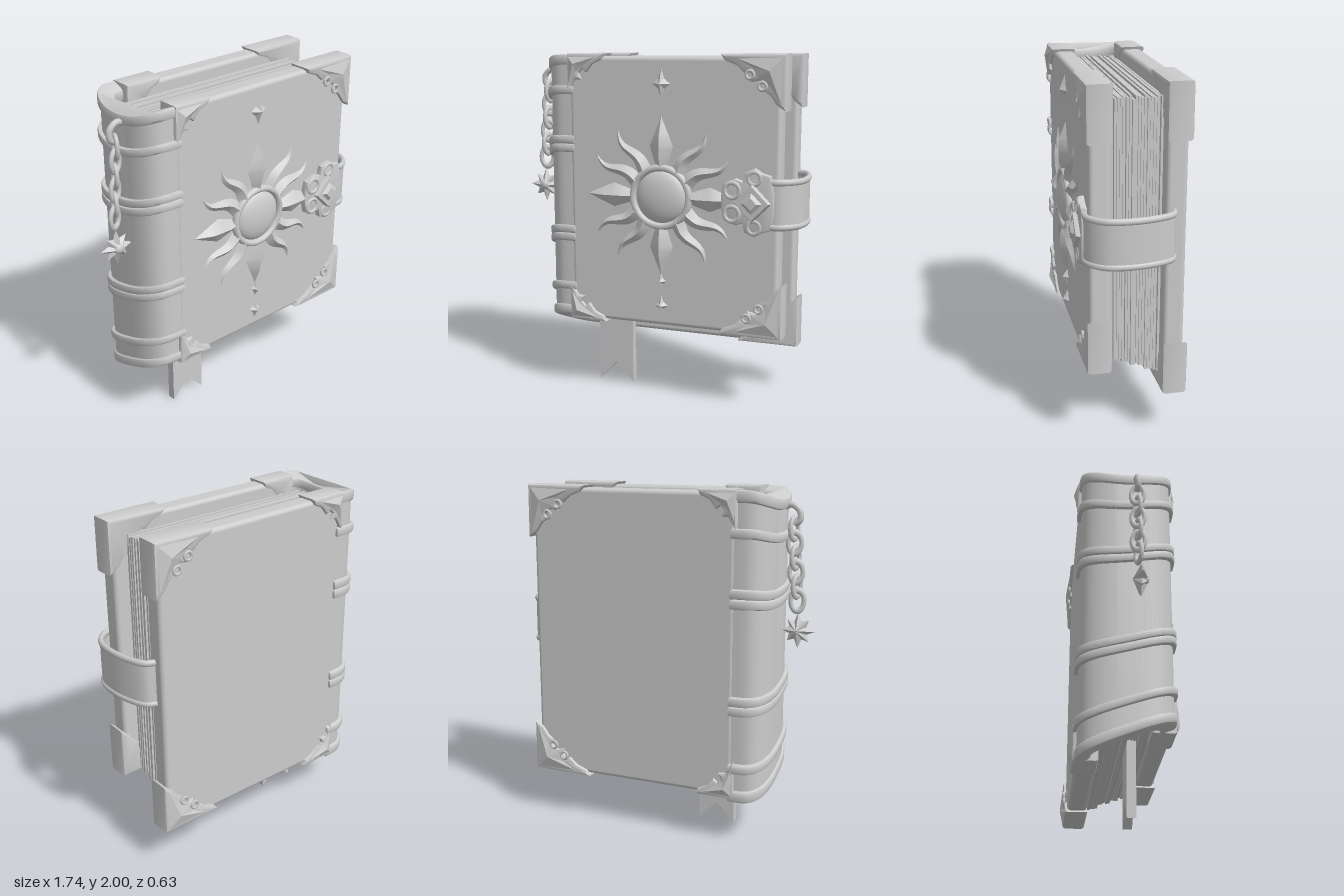
import * as THREE from 'three';
import { toCreasedNormals } from 'three/addons/utils/BufferGeometryUtils.js';
import { RoundedBoxGeometry } from 'three/addons/geometries/RoundedBoxGeometry.js';

const V2 = (x, y) => new THREE.Vector2(x, y);
const V3 = (x, y, z) => new THREE.Vector3(x, y, z);

// The book's foot slopes down towards the back, its head dips a little in the middle
const foot = (z) => 0.36 + 0.4 * z;
const head = (z) => 1.995 - 0.055 * Math.max(0, 1 - ((z + 0.02) / 0.255) ** 2);

export function createModel() {
  const book = new THREE.Group();
  book.name = 'ornateBook';
  const grey = new THREE.MeshStandardMaterial({ color: 0xcccccc, side: THREE.DoubleSide });
  grey.name = 'stone grey';

  const add = (name, geo, x = 0, y = 0, z = 0) => {
    const m = new THREE.Mesh(geo, grey);
    m.name = name;
    m.position.set(x, y, z);
    book.add(m);
    return m;
  };
  const plate = (pts, depth, bevel = 0) => toCreasedNormals(new THREE.ExtrudeGeometry(new THREE.Shape(pts), {
    depth: depth - 2 * bevel, bevelEnabled: bevel > 0, bevelThickness: bevel, bevelSize: bevel, bevelOffset: -bevel, bevelSegments: 2,
  }).translate(0, 0, bevel), 0.6);

  // Faceted pyramid over an outline, pointing to +z or -z
  const pyramid = (pts, ax, ay, h) => {
    const p = THREE.ShapeUtils.area(pts) * h < 0 ? [...pts].reverse() : pts;
    const v = [];
    p.forEach((a, i) => {
      const b = p[(i + 1) % p.length];
      v.push(a.x, a.y, 0, b.x, b.y, 0, ax, ay, h);
    });
    const g = new THREE.BufferGeometry();
    g.setAttribute('position', new THREE.Float32BufferAttribute(v, 3));
    g.computeVertexNormals();
    return g;
  };

  // Covers
  const covers = [
    { name: 'frontCover', z0: 0.125, z1: 0.24, y0: 0.445, dir: 1 },
    { name: 'backCover', z0: -0.165, z1: -0.28, y0: 0.28, dir: -1 },
  ];
  for (const c of covers) {
    add(c.name, new RoundedBoxGeometry(1.25, 1.985 - c.y0, 0.115, 3, 0.025), 0.12, (1.985 + c.y0) / 2, (c.z0 + c.z1) / 2);
  }

  // Metal corners: outline measured inwards from the corner
  const outerCorner = [[0, 0], [0.37, 0], [0.345, 0.035], [0.28, 0.06], [0.235, 0.1], [0.21, 0.09], [0.19, 0.115], [0.2, 0.15],
    [0.15, 0.14], [0.11, 0.17], [0.12, 0.2], [0.09, 0.22], [0.055, 0.27], [0, 0.305]];
  const spineCorner = [[0, 0], [0.23, 0], [0.215, 0.035], [0.16, 0.06], [0.12, 0.11], [0.095, 0.09], [0.075, 0.11], [0.09, 0.145],
    [0.05, 0.15], [0.02, 0.2], [0, 0.225]];
  for (const c of covers) {
    for (const top of [true, false]) {
      const cy = top ? 2 : c.y0 - 0.012, sy = top ? -1 : 1;
      const out = c.dir > 0 ? 0.258 : -0.298;
      const inn = c.dir > 0 ? 0.118 : -0.158;
      for (const [name, cx, sx, outline] of [['outerCorner', 0.772, -1, outerCorner], ['spineCorner', -0.515, 1, spineCorner]]) {
        const at = ([u, v]) => V2(cx + sx * u, cy + sy * v);
        add(name, plate(outline.map(at), 0.14, 0.018), 0, 0, Math.min(out, inn));
        // raised facets
        const facet = name === 'outerCorner'
          ? [[0.02, 0.02], [0.27, 0.025], [0.19, 0.07], [0.16, 0.12], [0.09, 0.17], [0.025, 0.27]]
          : [[0.01, 0.02], [0.18, 0.02], [0.1, 0.07], [0.06, 0.1], [0.012, 0.17]];
        const apex = at(name === 'outerCorner' ? [0.09, 0.09] : [0.05, 0.06]);
        add(name + 'Facet', pyramid(facet.map(at), apex.x, apex.y, c.dir * 0.02), 0, 0, out);
      }
      // scroll ornament beside the outer corner
      for (const [u, v] of [[0.2, 0.11], [0.13, 0.17]]) {
        add('cornerScroll', new THREE.TorusGeometry(0.022, 0.009, 6, 14), 0.772 - u, cy + sy * v, out);
      }
    }
  }

  // Spine pieces: U-shaped in plan, lifted to height and fitted to the sloping foot
  const uPath = (o) => {
    const pts = [V2(-0.48, 0.02 - 0.255 - o)];
    for (let i = 0; i <= 28; i++) {
      const a = -Math.PI / 2 - (Math.PI * i) / 28;
      const c = Math.cos(a), s = Math.sin(a);
      pts.push(V2(-0.53 - (0.155 + o) * Math.abs(c) ** 0.75, 0.02 + (0.255 + o) * Math.sign(s) * Math.abs(s) ** 0.75));
    }
    pts.push(V2(-0.48, 0.02 + 0.255 + o));
    return pts;
  };
  const spinePart = (name, oOut, oIn, y0, y1, bevel = 0) => {
    const g = plate([...uPath(oOut), ...uPath(oIn).reverse()], y1 - y0, bevel).rotateX(-Math.PI / 2).translate(0, y0, 0);
    const p = g.attributes.position;
    for (let i = 0; i < p.count; i++) {
      const z = p.getZ(i), t = (p.getY(i) - 0.44) / 1.56;
      p.setY(i, foot(z) + (head(z) - foot(z)) * t);
    }
    g.deleteAttribute('normal');
    add(name, toCreasedNormals(g, 0.6));
  };
  spinePart('spine', 0, -0.06, 0.45, 1.99);
  spinePart('spineHeadCap', 0.014, -0.075, 1.94, 2, 0.014);
  spinePart('spineFootCap', 0.014, -0.075, 0.44, 0.5, 0.014);
  for (const y of [1.795, 1.505, 1.455, 0.968, 0.92, 0.62]) {
    spinePart('spineBand', 0.022, -0.01, y - 0.024, y + 0.024, 0.012);
  }

  // Page block: uneven sheets
  let seed = 7;
  const rnd = () => (seed = (seed * 16807) % 2147483647) / 2147483647;
  const sheets = 18, step = 0.29 / sheets;
  for (let i = 0; i < sheets; i++) {
    const z = -0.165 + step * (i + 0.5);
    const x1 = 0.672 - 0.025 * rnd(), y0 = foot(z) + 0.045 + 0.02 * rnd(), y1 = 1.915 - 0.025 * rnd();
    add('pages', new THREE.BoxGeometry(x1 + 0.56, y1 - y0, step * (0.75 + 0.25 * rnd())), (x1 - 0.56) / 2, (y0 + y1) / 2, z);
  }

  // Sun emblem
  const SX = 0.06, SY = 1.2, FZ = 0.238;
  const dome = add('sunDisc', new THREE.SphereGeometry(0.152, 32, 12, 0, Math.PI * 2, 0, Math.PI / 2).rotateX(Math.PI / 2), SX, SY, FZ);
  dome.scale.z = 0.36;
  const ring = add('sunRing', new THREE.TorusGeometry(0.168, 0.02, 8, 40), SX, SY, FZ + 0.012);
  ring.scale.z = 1.2;
  // Ridged ray lying along +x, then turned
  const ray = (name, angle, len, width, wave, ridge) => {
    const n = 14, v = [], idx = [];
    for (let i = 0; i <= n; i++) {
      const t = i / n, x = 0.16 + (len - 0.16) * t, y = wave * Math.sin(t * Math.PI * 2.1) * (0.4 + 0.6 * t), w = width(t);
      const slope = (wave * 6 * Math.cos(t * Math.PI * 2.1)) / (len - 0.16);
      const k = Math.hypot(1, slope), nx = -slope / k, ny = 1 / k;
      v.push(x + nx * w, y + ny * w, 0, x, y, Math.min(ridge, w * 0.9), x - nx * w, y - ny * w, 0);
      if (i < n) {
        const a = 3 * i;
        idx.push(a, a + 1, a + 4, a, a + 4, a + 3, a + 1, a + 2, a + 5, a + 1, a + 5, a + 4);
      }
    }
    const g = new THREE.BufferGeometry();
    g.setAttribute('position', new THREE.Float32BufferAttribute(v, 3));
    g.setIndex(idx);
    add(name, toCreasedNormals(g, 0.5), SX, SY, FZ).rotation.z = angle;
  };
  for (let k = 0; k < 4; k++) {
    ray('straightRay', (k * Math.PI) / 2, 0.46, (t) => (t < 0.43 ? 0.03 + 0.1 * t : 0.073 * (1 - t) / 0.57), 0, 0.045);
  }
  for (const deg of [29, 54, 126, 151, 209, 234, 306, 331]) {
    const s = Math.sin((2 * deg * Math.PI) / 180) > 0 ? -1 : 1;
    ray('wavyRay', (deg * Math.PI) / 180, 0.46, (t) => 0.05 * (1 - t) ** 0.7, -s * 0.027, 0.035);
  }

  // Small diamonds above and below the sun
  for (const [y, w, h] of [[1.835, 0.055, 0.087], [0.71, 0.03, 0.052], [0.565, 0.042, 0.062]]) {
    const k = 0.35;
    const pts = [V2(0, h), V2(-w * k, h * k), V2(-w, 0), V2(-w * k, -h * k), V2(0, -h), V2(w * k, -h * k), V2(w, 0), V2(w * k, h * k)];
    add('diamond', pyramid(pts, 0, 0, 0.035), SX, y, FZ);
  }

  // Clasp strap with rounded rims
  const strap = new THREE.CatmullRomCurve3([V3(0.62, 0, 0.25), V3(0.75, 0, 0.25), V3(0.83, 0, 0.17), V3(0.85, 0, 0.04),
    V3(0.83, 0, -0.1), V3(0.79, 0, -0.19), V3(0.74, 0, -0.215)]);
  const outer = [], inner = [];
  for (let i = 0; i <= 30; i++) {
    const p = strap.getPoint(i / 30), t = strap.getTangent(i / 30);
    outer.push(V2(p.x - t.z * 0.007, -p.z - t.x * 0.007));
    inner.push(V2(p.x + t.z * 0.007, -p.z + t.x * 0.007));
  }
  add('claspStrap', plate([...outer, ...inner.reverse()], 0.26).rotateX(-Math.PI / 2), 0, 1.06, 0);
  for (const y of [1.07, 1.315]) {
    const rim = add('strapRim', new THREE.TubeGeometry(strap, 40, 0.016, 8), 0, y, 0);
    rim.scale.y = 1.2;
  }

  // Clasp plate with scrolls and gem
  const half = [[-0.18, 0.03], [-0.165, 0.1], [-0.1, 0.13], [-0.055, 0.115], [-0.045, 0.165], [0.01, 0.19], [0.05, 0.165], [0.1, 0.15], [0.12, 0.06]];
  const full = [...half, ...half.map(([x, y]) => [x, -y]).reverse()].map(([x, y]) => V2(x, y));
  add('claspPlate', plate(full, 0.045, 0.012), 0.6, 1.2, 0.23);
  for (const s of [-1, 1]) {
    add('claspScroll', new THREE.TorusGeometry(0.042, 0.014, 8, 20), 0.485, 1.2 + s * 0.065, 0.27);
    add('claspScroll', new THREE.TorusGeometry(0.035, 0.013, 8, 20), 0.61, 1.2 + s * 0.135, 0.268);
  }
  const flat4 = (r0, r1, h) => toCreasedNormals(new THREE.CylinderGeometry(r0, r1, h, 4).rotateX(Math.PI / 2), 0.3);
  add('gemSetting', flat4(0.095, 0.112, 0.03), 0.6, 1.2, 0.283);
  add('gem', flat4(0.035, 0.065, 0.02), 0.6, 1.2, 0.305);

  // Chain hanging from the spine
  const hook = new THREE.CatmullRomCurve3([V3(-0.67, 1.89, 0.03), V3(-0.72, 1.905, 0.03), V3(-0.765, 1.87, 0.03), V3(-0.765, 1.82, 0.03), V3(-0.735, 1.8, 0.03)]);
  add('chainHook', new THREE.TubeGeometry(hook, 20, 0.018, 8), 0, 0, 0);
  for (let i = 0; i < 6; i++) {
    const link = add('chainLink', new THREE.TorusGeometry(0.037, 0.013, 8, 20), -0.735 - 0.006 * i, 1.775 - 0.08 * i, 0.03);
    link.scale.y = 1.55;
    link.rotation.y = i % 2 ? 0.35 : 1.25;
  }

  // Star charm
  const star = [];
  for (let i = 0; i < 16; i++) {
    const a = (i * Math.PI) / 8 + Math.PI / 2, r = i % 2 ? 0.055 : i % 4 ? 0.088 : 0.104;
    star.push(V2(Math.cos(a) * r, Math.sin(a) * r));
  }
  for (const s of [-1, 1]) {
    add('starCharm', pyramid(star, 0, 0, s * 0.045), -0.77, 1.205, 0.04);
  }
  add('starStud', new THREE.SphereGeometry(0.035, 12, 8), -0.77, 1.205, 0.05);

  // Ribbon bookmark with a forked end
  add('ribbon', plate([V2(-0.42, 0.6), V2(-0.42, 0), V2(-0.31, 0.115), V2(-0.2, 0), V2(-0.2, 0.6)], 0.05), 0, 0, -0.005);

  return book;
}
